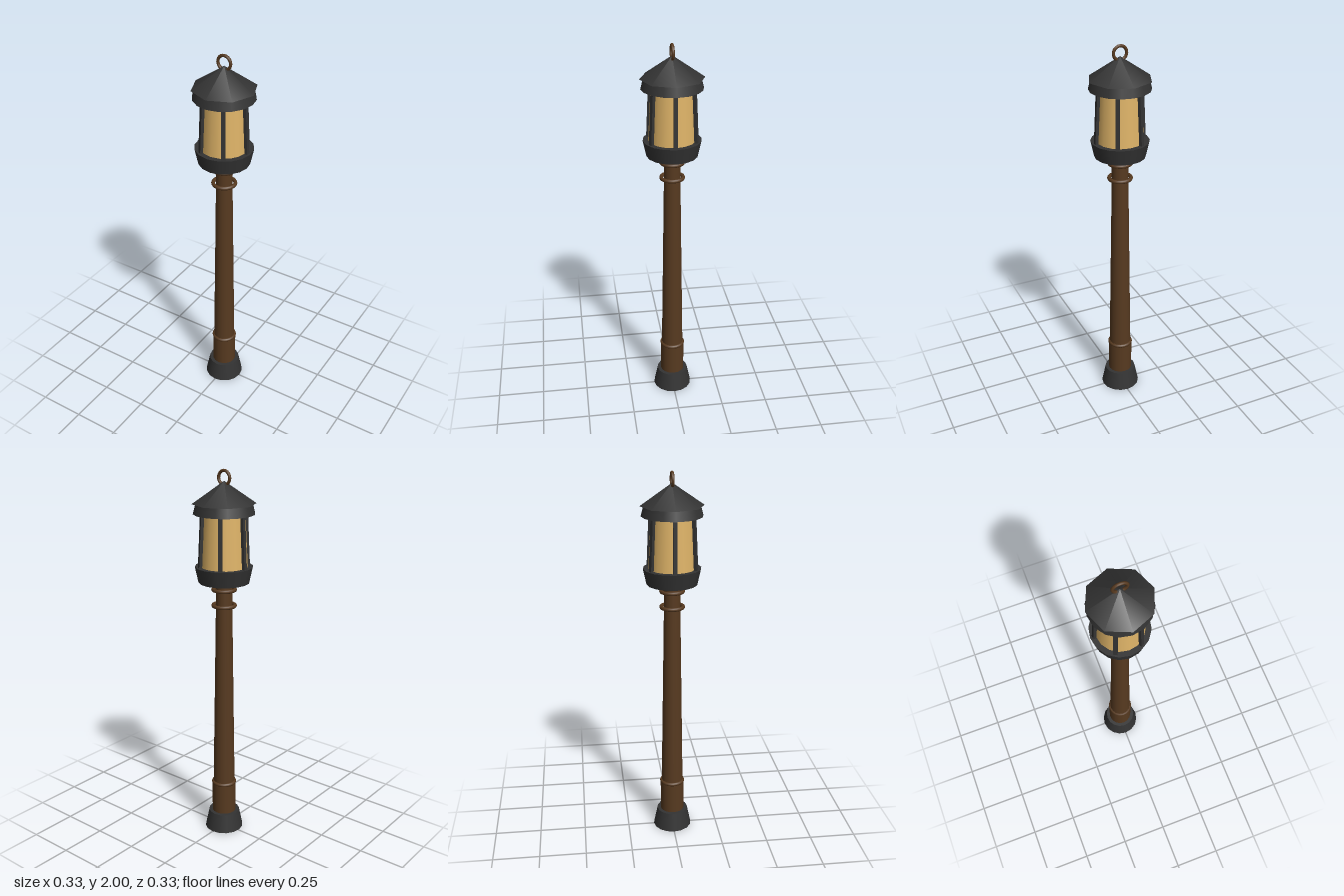
import * as THREE from 'three';

const flat = (name, color) => {
  const m = new THREE.MeshStandardMaterial({ color });
  m.name = name;
  return m;
};

export function createModel() {
  const iron = flat('dark iron', 0x333333);
  const wood = flat('brown wood', 0x573a20);
  const glass = flat('amber glass', 0xdfb468);
  const group = new THREE.Group();

  const add = (name, geometry, material, y = 0, parent = group) => {
    const mesh = new THREE.Mesh(geometry, material);
    mesh.name = name;
    mesh.position.y = y;
    parent.add(mesh);
    return mesh;
  };
  // Tapered round section standing between two heights
  const section = (name, y0, y1, r0, r1, material, sides = 16) =>
    add(name, new THREE.CylinderGeometry(r1, r0, y1 - y0, sides), material, (y0 + y1) / 2);

  // Foot: iron sleeve around the post, open in the middle
  section('foot', 0.002, 0.104, 0.105, 0.084, iron);

  // Post
  section('plinth', 0, 0.28, 0.065, 0.065, wood);
  section('shaft', 0.28, 1.3, 0.059, 0.043, wood);
  section('neck', 1.3, 1.44, 0.043, 0.043, wood);
  for (const [y, r] of [[0.28, 0.058], [1.305, 0.057], [1.39, 0.057]]) {
    const collar = new THREE.TorusGeometry(r, 0.01, 8, 24);
    collar.rotateX(Math.PI / 2);
    add('collar', collar, wood, y);
  }

  // Lantern body
  section('lanternTray', 1.43, 1.513, 0.132, 0.15, iron);
  section('lanternGlass', 1.51, 1.785, 0.122, 0.107, glass);
  section('roofRim', 1.78, 1.835, 0.157, 0.143, iron);

  // Six leaning bars around the glass
  const bars = new THREE.Group();
  bars.name = 'lanternBars';
  group.add(bars);
  const lean = Math.atan2(0.014, 0.28);
  for (let i = 0; i < 6; i++) {
    const bar = new THREE.BoxGeometry(0.016, 0.29, 0.02);
    bar.rotateZ(lean);
    bar.translate(0.124, 0, 0);
    bar.rotateY((i * Math.PI) / 3);
    add('lanternBar', bar, iron, 1.646, bars);
  }

  // Eight-sided roof and hanging ring
  add('roof', new THREE.ConeGeometry(0.163, 0.112, 8), iron, 1.886);
  add('hangingRing', new THREE.TorusGeometry(0.035, 0.008, 8, 24), wood, 1.957);

  return group;
}
